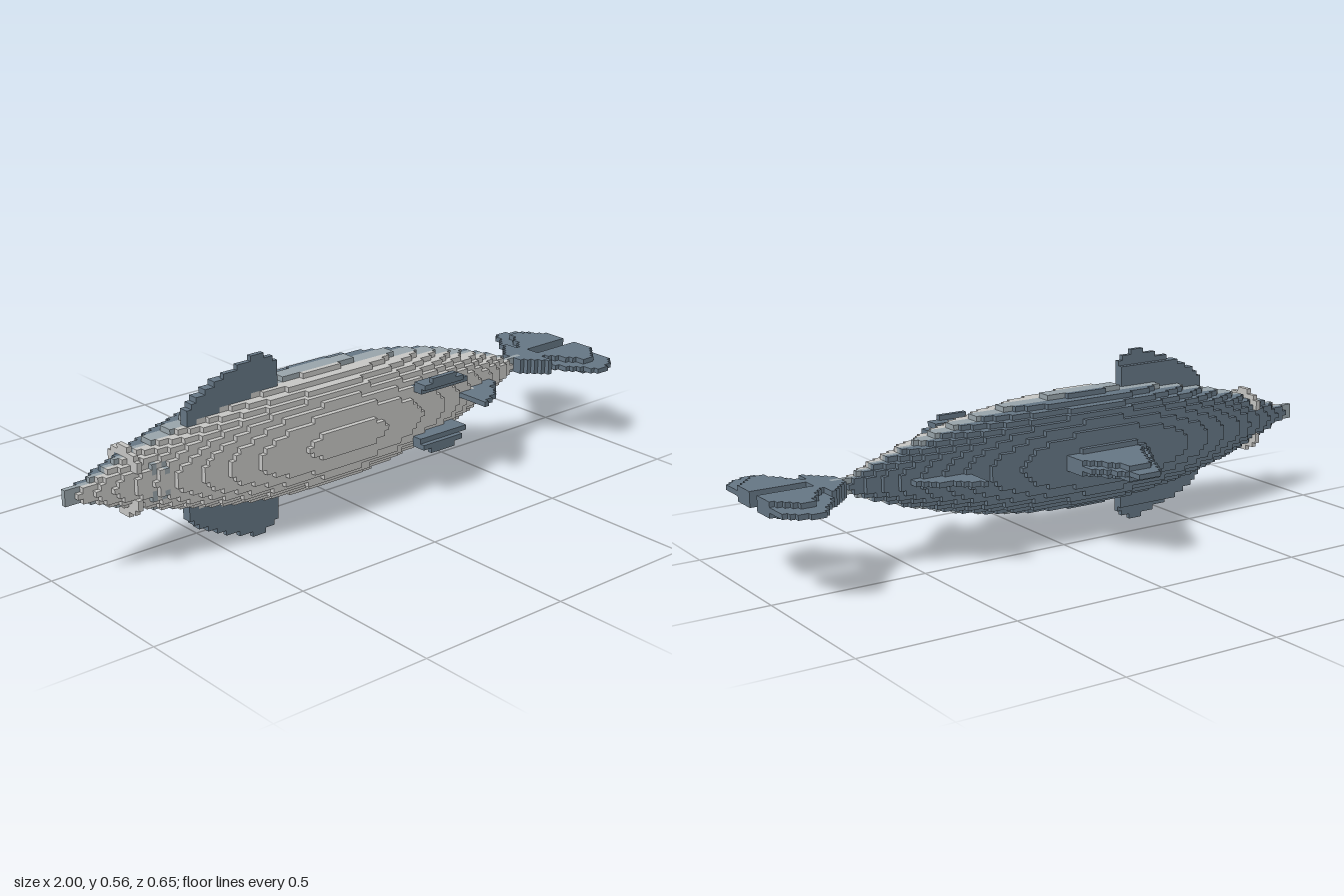
import * as THREE from 'three';

// Voxel grid: 124 x 35 x 40 cells, spine at y = 17.5, z = 5.5 cells
const V = 1 / 62, CY = 17, CZ = 5;

const material = (name, color) => Object.assign(new THREE.MeshStandardMaterial({ color }), { name });

// Point-in-polygon test in the unit frame
function inside(poly, u, v) {
  let hit = false;
  poly.forEach(([ax, ay], i) => {
    const [bx, by] = poly[(i + 1) % poly.length];
    if ((ay > v) !== (by > v) && u < ((bx - ax) * (v - ay)) / (by - ay) + ax) hit = !hit;
  });
  return hit;
}

// Six cube faces: normal, then two edge directions with normal = a x b
const FACES = [[1, 0, 0], [0, 1, 0], [0, 0, 1]].flatMap((n) => {
  const a = [n[2], n[0], n[1]], b = [n[1], n[2], n[0]];
  return [{ n, a, b }, { n: n.map((c) => -c), a: b, b: a }];
});

export function createModel() {
  const mats = {
    slate: material('slate back', 0x667785),
    mid: material('grey flank', 0x9aa6ac),
    pale: material('pale belly', 0xc8c8c6),
  };
  const cells = new Map();
  const key = (i, j, k) => `${i},${j},${k}`;
  const put = (part, mat, i, j, k) => {
    if (!cells.has(key(i, j, k))) cells.set(key(i, j, k), { part, mat, p: [i, j, k] });
  };

  // Spindle body with parabolic taper, coloured in bands from back to belly
  for (let i = -62; i < 47; i++) {
    const x = (i + 0.5) * V, t = (x + 0.12) / (x < -0.12 ? 0.885 : 0.875);
    if (Math.abs(t) > 1) continue;
    const s = 1 - t * t, ry = Math.max(1, 11.3 * s), rz = Math.max(0.6, 10.3 * s);
    for (let dy = -12; dy <= 12; dy++) {
      for (let dz = -12; dz <= 12; dz++) {
        if ((dy / ry) ** 2 + (dz / rz) ** 2 <= 1) {
          let mat = dz < -0.18 * rz ? 'slate' : dz > 0.18 * rz ? 'pale' : 'mid';
          // Gill slits on the throat
          if (mat === 'pale' && x > -0.78 && x < -0.71 && Math.abs(dy) > 1 && Math.abs(dy) < 4 && i % 2) mat = 'mid';
          put('body', mat, i, CY + dy, CZ + dz);
        } else if (i === -50 && Math.abs(dy) > 2 && (dy / (ry + 1.6)) ** 2 + (dz / (rz + 1.4)) ** 2 <= 1) {
          put('gillRim', 'pale', i, CY + dy, CZ + dz); // raised gill rim
        }
      }
    }
  }

  // Fins in the middle plane: one cell thick at the rim, three in the core
  function medianFin(part, poly, core) {
    for (let i = -62; i < 62; i++) for (let k = -20; k < 20; k++) {
      const x = (i + 0.5) * V, z = (k + 0.5) * V;
      if (!inside(poly, x, z)) continue;
      put(part, 'slate', i, CY, k);
      if (core(x, z)) [-1, 1].forEach((d) => put(part, 'slate', i, CY + d, k));
    }
  }
  const dorsal = [[-0.26, 0], [-0.26, -0.08], [-0.21, -0.17], [-0.17, -0.24], [-0.12, -0.33],
    [-0.06, -0.33], [-0.045, -0.29], [0, -0.21], [0.03, -0.18], [0.03, 0]];
  medianFin('dorsalFin', dorsal, (x, z) => inside(dorsal, x, z - 3 * V));
  medianFin('rearDorsalFin', [[0.355, 0.06], [0.355, -0.13], [0.39, -0.11], [0.44, -0.07],
    [0.5, -0.05], [0.54, 0], [0.54, 0.06]], () => false);
  medianFin('analFin', [[0.385, 0.1], [0.385, 0.305], [0.42, 0.285], [0.47, 0.27], [0.49, 0.24],
    [0.5, 0.21], [0.545, 0.2], [0.545, 0.1]], () => false);

  // Forked tail, with a slot between the lobes
  const lobe = [[0.72, 0.06], [0.8, -0.02], [0.85, -0.08], [0.895, -0.15], [0.925, -0.15], [1.01, -0.08]];
  const mirrored = lobe.map(([x, z]) => [x, 0.1774 - z]).reverse();
  const tail = [...lobe, ...mirrored];
  const slot = (x, z) => x > 0.82 && Math.abs(z - 0.0887) < 1.5 * V;
  const tailWeb = (x, z) => inside(tail, x, z) && !slot(x, z);
  for (let i = 44; i < 62; i++) for (let k = -20; k < 20; k++) {
    const x = (i + 0.5) * V, z = (k + 0.5) * V;
    if (!tailWeb(x, z)) continue;
    const thick = inside(tail, x, z - 4.5 * V) && inside(tail, x, z + 4.5 * V);
    for (let d = thick || x < 0.8 ? -1 : 0; d <= (thick || x < 0.8 ? 1 : 0); d++) put('tailFin', 'slate', i, CY + d, k);
  }

  // Paired fins, mirrored about the middle plane
  const pectoral = [[-0.61, 0.38], [-0.61, 0.455], [-0.55, 0.49], [-0.48, 0.53], [-0.39, 0.553],
    [-0.38, 0.57], [-0.355, 0.57], [-0.33, 0.55], [-0.295, 0.53], [-0.295, 0.38]];
  const pair = (part, i, j, k) => [j, 34 - j].forEach((y) => put(part, 'slate', i, y, k));
  for (let i = -40; i < -15; i++) for (let j = 23; j < 35; j++) {
    if (!inside(pectoral, (i + 0.5) * V, (j + 0.5) * V)) continue;
    pair('pectoralFin', i, j, 7);
    if (j < 32) pair('pectoralFin', i, j, 6);
  }
  // Pelvic fins, stepping outward: row, first and last z, first and last x
  [[22, 12, 15, 10, 22], [23, 14, 16, 10, 20], [24, 16, 16, 12, 18]].forEach(([j, k0, k1, i0, i1]) => {
    for (let k = k0; k <= k1; k++) for (let i = i0; i < i1; i++) pair('pelvicFin', i, j, k);
  });

  // Mesh the exposed cell faces, one mesh per part and colour
  const batches = new Map();
  for (const { part, mat, p } of cells.values()) {
    const id = `${part}:${mat}`;
    if (!batches.has(id)) batches.set(id, { part, mat, pos: [], nor: [], idx: [] });
    const g = batches.get(id);
    for (const { n, a, b } of FACES) {
      if (cells.has(key(p[0] + n[0], p[1] + n[1], p[2] + n[2]))) continue;
      const first = g.pos.length / 3;
      for (const [u, v] of [[-1, -1], [1, -1], [1, 1], [-1, 1]]) {
        for (let c = 0; c < 3; c++) g.pos.push((p[c] + 0.5 + (n[c] + u * a[c] + v * b[c]) / 2) * V);
        g.nor.push(...n);
      }
      g.idx.push(first, first + 1, first + 2, first, first + 2, first + 3);
    }
  }
  const model = new THREE.Group();
  model.name = 'fish';
  for (const { part, mat, pos, nor, idx } of batches.values()) {
    const geo = new THREE.BufferGeometry();
    geo.setAttribute('position', new THREE.Float32BufferAttribute(pos, 3));
    geo.setAttribute('normal', new THREE.Float32BufferAttribute(nor, 3));
    geo.setIndex(idx);
    const mesh = new THREE.Mesh(geo, mats[mat]);
    mesh.name = part === 'body' ? { slate: 'back', mid: 'flank', pale: 'belly' }[mat] : part;
    model.add(mesh);
  }
  return model;
}
